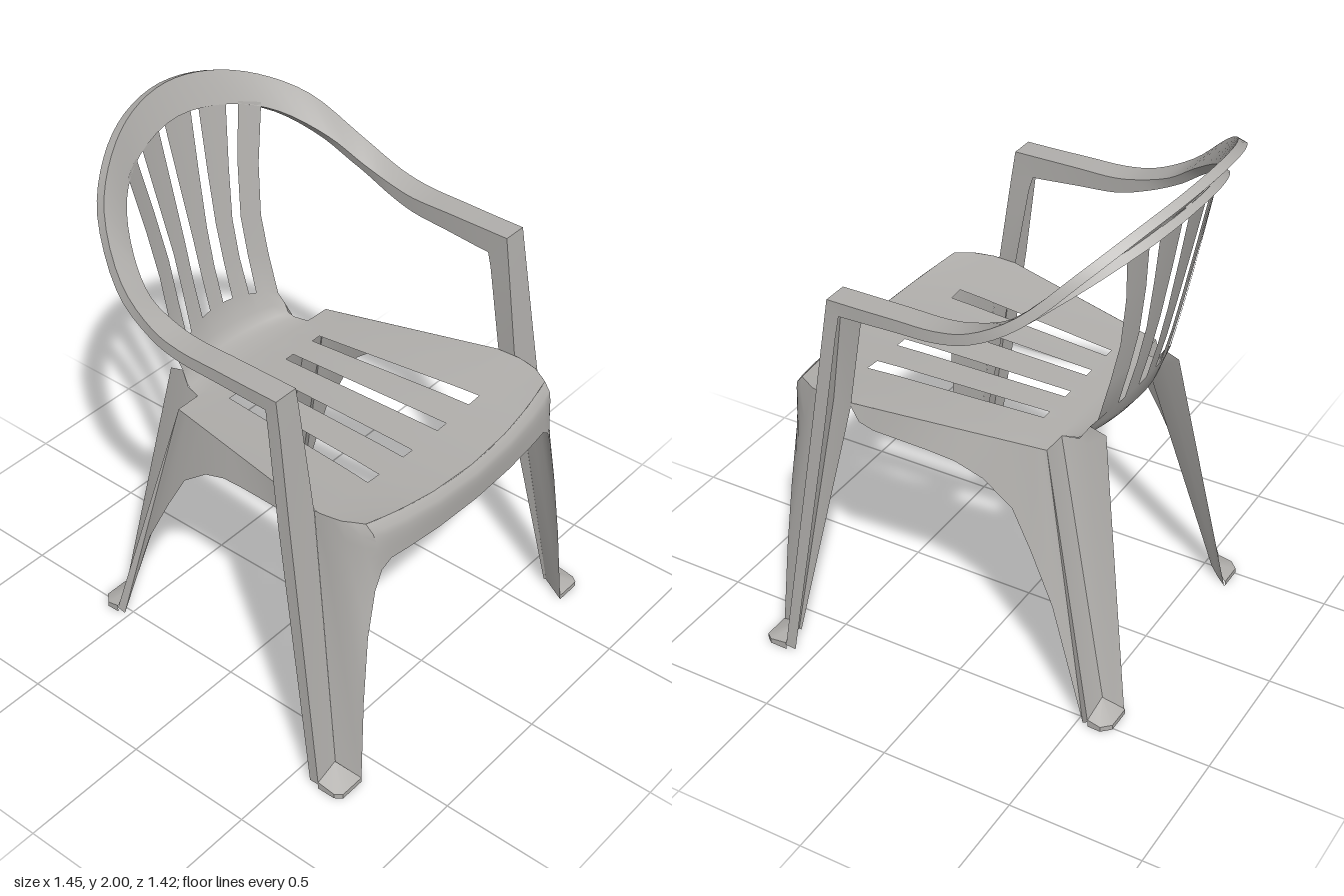
import * as THREE from 'three';
import { toCreasedNormals } from 'three/addons/utils/BufferGeometryUtils.js';

const plastic = new THREE.MeshStandardMaterial({ color: 0xb1afac, side: THREE.DoubleSide });
plastic.name = 'grey plastic';

const flip = ([x, y, z]) => [-x, y, z];
// Extends a half list that ends on the centre line to the full width
const bothSides = (half) => [...half, ...half.slice(0, -1).reverse().map(flip)];

// Sheet through rows of points; hole(row, column) leaves a cell open
function sheet(name, rows, crease = 0.6, hole = () => false) {
  const n = rows[0].length;
  const index = [];
  for (let r = 0; r < rows.length - 1; r++) {
    for (let c = 0; c < n - 1; c++) {
      if (hole(r, c)) continue;
      const a = r * n + c, b = a + 1, d = a + n, e = d + 1;
      index.push(a, b, d, b, e, d);
    }
  }
  const geo = new THREE.BufferGeometry();
  geo.setAttribute('position', new THREE.Float32BufferAttribute(rows.flat(2), 3));
  geo.setIndex(index);
  const mesh = new THREE.Mesh(toCreasedNormals(geo, crease), plastic);
  mesh.name = name;
  return mesh;
}

// Seat and backrest as one bent sheet with slots
function seatAndBack() {
  // z, y, four slot edges, outer edge, z bow, y dish, slots start here
  const profile = [
    [0.675, 1.03, 0.075, 0.12, 0.25, 0.31, 0.50, -0.22, 0.14, 0],
    [0.58, 1.03, 0.075, 0.12, 0.25, 0.31, 0.54, -0.1, 0.12, 0],
    [0.475, 1.03, 0.07, 0.12, 0.25, 0.31, 0.555, 0, 0.116, 1],
    [0.375, 1.03, 0.068, 0.116, 0.243, 0.3, 0.55, 0, 0.116, 1],
    [-0.20, 1.022, 0.058, 0.097, 0.205, 0.245, 0.422, 0, 0, 0],
    [-0.30, 1.015, 0.05, 0.09, 0.19, 0.23, 0.40, 0, 0, 0],
    [-0.302, 1.015, 0.05, 0.09, 0.19, 0.23, 0.30, 0, 0, 0],
    [-0.38, 1.017, 0.045, 0.09, 0.175, 0.21, 0.285, 0.3, 0, 0],
    [-0.425, 1.03, 0.04, 0.085, 0.165, 0.195, 0.278, 0.6, 0, 0],
    [-0.455, 1.07, 0.035, 0.08, 0.155, 0.185, 0.275, 0.8, 0, 0],
    [-0.48, 1.16, 0.035, 0.08, 0.155, 0.185, 0.271, 0.8, -0.8, 1],
    [-0.517, 1.30, 0.035, 0.08, 0.15, 0.185, 0.265, 0.8, -0.5, 1],
    [-0.55, 1.45, 0.038, 0.08, 0.153, 0.187, 0.265, 0.8, -0.5, 1],
    [-0.59, 1.65, 0.05, 0.088, 0.178, 0.213, 0.29, 0.8, -0.5, 1],
    [-0.635, 1.885, 0.065, 0.10, 0.21, 0.255, 0.335, 0.8, -0.5, 0],
  ];
  const rows = profile.map(([z, y, a, b, c, d, e, bow, dish]) => {
    const edges = [-e, -d, -c, -b, -a, a, b, c, d, e];
    const xs = [edges[0]];
    for (let i = 1; i < edges.length; i++) xs.push((edges[i - 1] + edges[i]) / 2, edges[i]);
    return xs.map((x) => [x, y + dish * x * x, z + bow * x * x]);
  });
  const hole = (r, c) => profile[r][9] === 1 && [1, 3, 5, 7].includes(c >> 1);
  return sheet('seatAndBackrest', rows, 0.9, hole);
}

// Front legs, armrests and top arch as one continuous channel
function frame() {
  const vec = (list) => list.map((p) => new THREE.Vector3(...p));
  const outerArch = new THREE.CatmullRomCurve3(vec(bothSides([
    [0.655, 1.53, 0.27], [0.655, 1.532, 0.12], [0.655, 1.535, -0.03], [0.65, 1.56, -0.15],
    [0.62, 1.65, -0.31], [0.52, 1.81, -0.475], [0.365, 1.915, -0.585], [0.19, 1.977, -0.655], [0, 2, -0.68]])));
  const innerArch = new THREE.CatmullRomCurve3(vec(bothSides([
    [0.56, 1.53, 0.27], [0.56, 1.53, 0.12], [0.56, 1.53, -0.03], [0.56, 1.545, -0.12],
    [0.55, 1.59, -0.25], [0.50, 1.68, -0.37], [0.385, 1.785, -0.505], [0.23, 1.85, -0.59], [0, 1.885, -0.63]])));
  // outer point, inner point, outer flange depth, inner flange depth
  const leg = [
    [[0.725, 0.02, 0.61], [0.635, 0.03, 0.615], 0.04, 0.01],
    [[0.677, 1.06, 0.45], [0.555, 1.06, 0.45], 0.05, 0.07],
    [[0.66, 1.40, 0.40], [0.558, 1.40, 0.40], 0.05, 0.08],
    [[0.655, 1.53, 0.38], [0.56, 1.53, 0.38], 0.068, 0.115],
  ];
  const half = leg.map(([o, i, a, b]) => ({ o: new THREE.Vector3(...o), i: new THREE.Vector3(...i), a, b }));
  const stations = [...half];
  const steps = 64;
  for (let k = 0; k <= steps; k++) {
    const t = k / steps;
    const m = Math.min(1, Math.min(t, 1 - t) / 0.25);
    stations.push({ o: outerArch.getPoint(t), i: innerArch.getPoint(t), a: 0.05 - 0.015 * m, b: 0.085 - 0.05 * m });
  }
  const mirrorX = (v) => new THREE.Vector3(-v.x, v.y, v.z);
  for (const s of [...half].reverse()) stations.push({ ...s, o: mirrorX(s.o), i: mirrorX(s.i) });

  const mids = stations.map((s) => s.o.clone().add(s.i).multiplyScalar(0.5));
  const rows = stations.map((s, k) => {
    const tangent = new THREE.Vector3();
    if (k > 0) tangent.add(mids[k].clone().sub(mids[k - 1]).normalize());
    if (k < mids.length - 1) tangent.add(mids[k + 1].clone().sub(mids[k]).normalize());
    const down = s.o.clone().sub(s.i).cross(tangent).normalize();
    // Flanges hang below the arms and behind the legs
    const outer = s.o.clone().addScaledVector(down, -s.a);
    const inner = s.i.clone().addScaledVector(down, -s.b);
    return [outer, s.o, s.i, inner].map((p) => p.toArray());
  });
  return sheet('armrestsAndArch', rows, 0.6);
}

// Front apron flowing down into the inner faces of the front legs
function frontApron() {
  const rim = (x) => [x, 1.03 + 0.14 * x * x, 0.675 - 0.22 * x * x];
  const top = [[0.555, 1.066, 0.45], [0.555, 1.066, 0.475], [0.548, 1.066, 0.513], [0.54, 1.066, 0.551],
    [0.52, 1.066, 0.585], rim(0.5), rim(0.45), rim(0.35), rim(0.2), rim(0)];
  const bottom = [[0.635, 0.03, 0.615], [0.605, 0, 0.705], [0.575, 0.35, 0.685], [0.54, 0.62, 0.67],
    [0.50, 0.80, 0.665], [0.47, 0.875, 0.668], [0.43, 0.905, 0.675], [0.36, 0.905, 0.685],
    [0.2, 0.896, 0.695], [0, 0.893, 0.70]];
  const rows = [];
  for (let k = 0; k <= 6; k++) {
    const t = k / 6;
    // The upper edge rolls over slightly
    const roll = 0.02 * Math.sin(Math.PI * Math.sqrt(t));
    rows.push(bothSides(top.map((p, i) => {
      const q = p.map((v, j) => v + (bottom[i][j] - v) * t);
      if (i > 3) q[2] += roll;
      return q;
    })));
  }
  return sheet('frontApron', rows, 0.7);
}

// Side apron and the three faces of a rear leg
function sideAndRearLeg(side) {
  const put = (list) => (side > 0 ? list : list.map(flip));
  const edge = (z) => {
    const t = (z + 0.3) / 0.675;
    return [0.40 + 0.15 * t, 1.015 + 0.05 * t, z];
  };
  const top = [0.39, 0.30, 0.2, 0.10, 0, -0.10, -0.17, -0.21, -0.25, -0.285, -0.30].map(edge);
  const bottom = [[0.555, 1.0, 0.35], [0.545, 0.975, 0.30], [0.53, 0.96, 0.2], [0.515, 0.945, 0.10],
    [0.50, 0.925, 0], [0.485, 0.88, -0.10], [0.478, 0.79, -0.21], [0.487, 0.65, -0.285],
    [0.50, 0.45, -0.38], [0.525, 0.0, -0.52], [0.535, 0.02, -0.545]];
  const valleyTop = [0.30, 1.015, -0.30], valleyFoot = [0.44, 0.05, -0.555];
  const group = new THREE.Group();
  group.name = side > 0 ? 'leftRearLeg' : 'rightRearLeg';
  group.add(
    sheet('sideApron', [put(top), put(bottom)]),
    sheet('rearLegOuterFace', [put([top[10], valleyTop]), put([bottom[10], valleyFoot])]),
    sheet('rearLegInnerFace', [
      put([valleyTop, [0.285, 1.015, -0.36], [0.275, 1.07, -0.395]]),
      put([valleyTop, [0.283, 1.0, -0.39], [0.272, 1.05, -0.455]]),
      put([valleyFoot, [0.425, 0.02, -0.59], [0.41, 0, -0.625]]),
    ]),
  );
  return group;
}

// Small ledge that closes the bottom of a leg
function foot(name, apex, rim, side) {
  const put = (list) => (side > 0 ? list : list.map(flip));
  return sheet(name, [put(rim.map(() => apex)), put(rim), put(rim.map(([x, , z]) => [x, 0, z]))], 0.4);
}

export function createModel() {
  const chair = new THREE.Group();
  chair.name = 'gardenChair';
  chair.add(seatAndBack(), frame(), frontApron());
  for (const side of [1, -1]) {
    chair.add(
      sideAndRearLeg(side),
      foot('frontFoot', [0.637, 0.065, 0.612],
        [[0.725, 0.03, 0.61], [0.724, 0.02, 0.68], [0.705, 0.02, 0.705], [0.605, 0.02, 0.705]], side),
      foot('rearFoot', [0.44, 0.065, -0.551],
        [[0.535, 0.03, -0.545], [0.537, 0.02, -0.595], [0.505, 0.02, -0.628], [0.41, 0.02, -0.628]], side),
    );
  }
  return chair;
}
